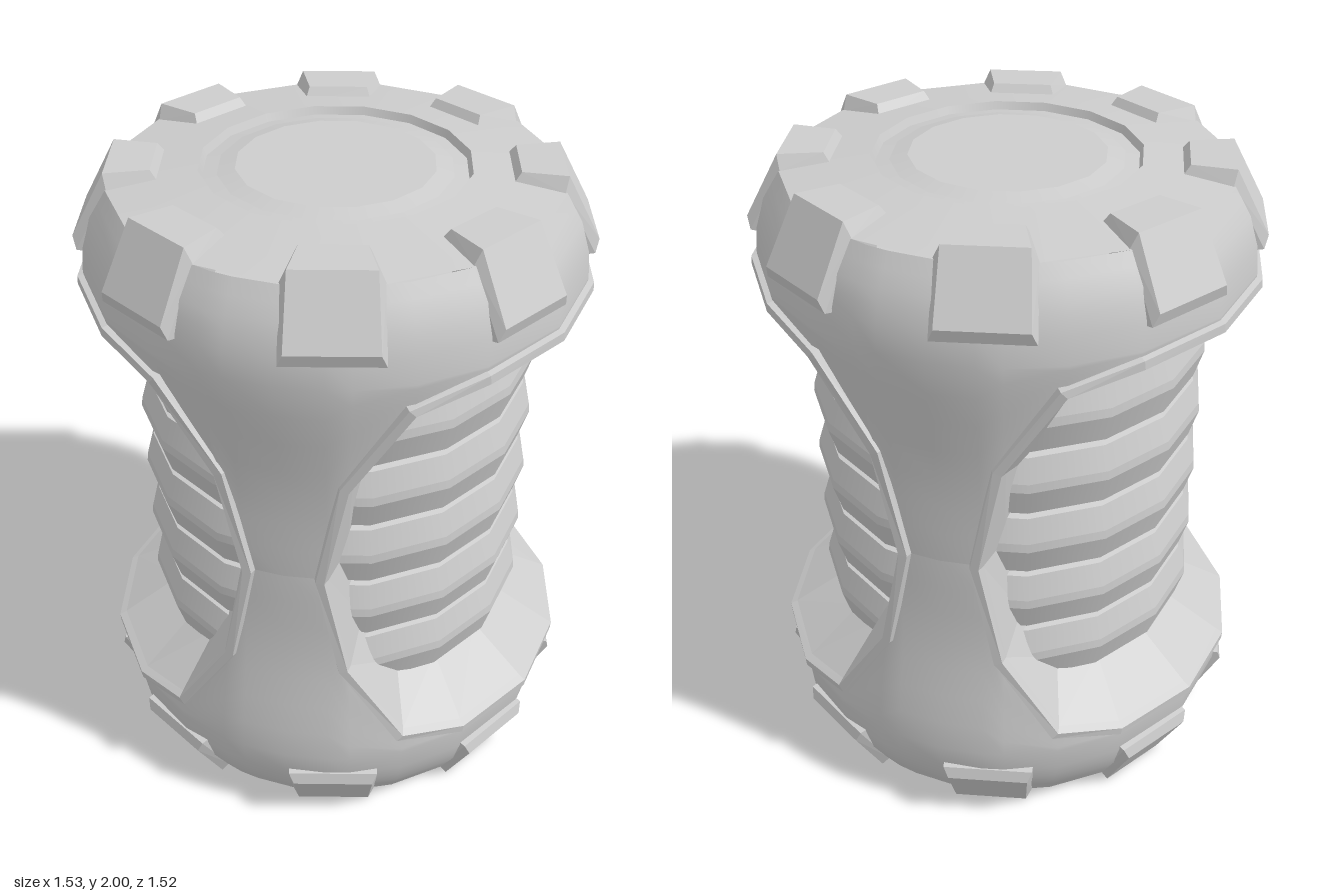
import * as THREE from 'three';
import { mergeGeometries } from 'three/addons/utils/BufferGeometryUtils.js';
import { ConvexGeometry } from 'three/addons/geometries/ConvexGeometry.js';

const rad = THREE.MathUtils.degToRad;

// Shell radius by height above the waist plane (height, radius)
const PROFILE = [[0, 0.68], [0.2, 0.684], [0.34, 0.692], [0.48, 0.715], [0.62, 0.738], [0.7, 0.745],
  [0.78, 0.738], [0.87, 0.71], [0.955, 0.66]];
function shellRadius(y) {
  const h = Math.abs(y - 1);
  for (let i = 1; i < PROFILE.length; i++) {
    const [h0, r0] = PROFILE[i - 1], [h1, r1] = PROFILE[i];
    if (h <= h1) return r0 + (r1 - r0) * (h - h0) / (h1 - h0);
  }
  return 0.66;
}

// A quarter of the window outline: angle from +x in degrees, height above waist
const WINDOW = [[0, 0.655], [22.5, 0.655], [45, 0.65], [61, 0.605], [74, 0.34], [79.5, 0]];

const polar = (r, a, y) => [r * Math.cos(a), y, r * Math.sin(a)];

// Upper half of the smooth shell; its lower edge follows the window outlines
function halfShell() {
  const quarter = [...WINDOW, [90, 0]];
  const columns = [];
  for (let k = 0; k < 4; k++) {
    const src = k % 2 ? quarter.slice().reverse() : quarter;
    for (const [a, h] of src.slice(0, -1)) columns.push([rad(k * 90 + (k % 2 ? 90 - a : a)), h]);
  }
  const pos = [], index = [], low = 7, capRows = [0.78, 0.83, 0.87, 0.915, 0.955];
  const rows = low + 1 + capRows.length, n = columns.length;
  for (const [a, h] of columns) {
    const heights = [];
    for (let j = 0; j <= low; j++) heights.push(h + (0.7 - h) * j / low);
    for (const y of [...heights, ...capRows]) pos.push(...polar(shellRadius(1 + y), a, 1 + y));
  }
  for (let i = 0; i < n; i++) {
    for (let j = 0; j < rows - 1; j++) {
      const p = i * rows + j, q = ((i + 1) % n) * rows + j;
      index.push(p, p + 1, q + 1, p, q + 1, q);
    }
  }
  const g = new THREE.BufferGeometry();
  g.setAttribute('position', new THREE.Float32BufferAttribute(pos, 3));
  g.setIndex(index);
  g.computeVertexNormals();
  return g;
}

// Raised window rim and the deep reveal behind it, swept around the outline
function windowFrame() {
  const back = WINDOW.slice(0, -1).reverse();
  const outline = [
    ...WINDOW, ...back.map(([a, h]) => [a, -h]),
    ...WINDOW.slice(1).map(([a, h]) => [-a, -h]), ...back.slice(0, -1).map(([a, h]) => [-a, h]),
  ].map(([a, h]) => [rad(a), h]);
  const n = outline.length;
  const offsetLoop = (off, dr) => outline.map(([a, h], i) => {
    const p = outline[(i + n - 1) % n], q = outline[(i + 1) % n];
    const tu = (q[0] - p[0]) * 0.7, tv = q[1] - p[1], len = Math.hypot(tu, tv);
    const y = 1 + h + off * tu / len;
    return polar(shellRadius(y) + dr, a - off * tv / len / 0.7, y);
  });
  const loops = [offsetLoop(0.038, -0.01), offsetLoop(0.032, 0.018), offsetLoop(0.006, 0.022),
    offsetLoop(-0.006, 0), outline.map(([a, h]) => polar(0.55, a * 0.93, 1 + h * 0.81))];
  const pos = [];
  for (let k = 0; k < loops.length - 1; k++) {
    for (let i = 0; i < n; i++) {
      const j = (i + 1) % n, O = loops[k], I = loops[k + 1];
      pos.push(...O[i], ...O[j], ...I[j], ...O[i], ...I[j], ...I[i]);
    }
  }
  const g = new THREE.BufferGeometry();
  g.setAttribute('position', new THREE.Float32BufferAttribute(pos, 3));
  g.computeVertexNormals();
  return g;
}

// Lathe that is smooth around the axis but creased between profile points
function creasedLathe(points, segments = 16) {
  const bands = [];
  for (let i = 0; i < points.length - 1; i++) {
    bands.push(new THREE.LatheGeometry([points[i], points[i + 1]].map(p => new THREE.Vector2(...p)), segments));
  }
  return mergeGeometries(bands);
}

// Bevelled grip block wrapped over the shoulder: (radius, height, half width)
const BLOCK = [
  [0.49, 1.955, 0.105], [0.52, 1.998, 0.09], [0.65, 1.998, 0.115], [0.752, 1.81, 0.125],
  [0.742, 1.772, 0.14], [0.69, 1.765, 0.142], [0.64, 1.955, 0.135], [0.6, 1.85, 0.1],
];
function gripBlock(top) {
  const pts = [];
  for (const [r, y, w] of BLOCK) {
    for (const s of [-1, 1]) pts.push(new THREE.Vector3(s * w, top ? y : 2 - y, r));
  }
  return new ConvexGeometry(pts);
}

export function createModel() {
  const model = new THREE.Group();
  model.name = 'canister';
  const grey = new THREE.MeshStandardMaterial({ color: 0xcccccc });
  grey.name = 'light grey';
  const add = (parent, geometry, name) => {
    const mesh = new THREE.Mesh(geometry, grey);
    mesh.name = name;
    parent.add(mesh);
    return mesh;
  };

  // Shell halves with end caps; the lower one is the upper turned over
  const shell = halfShell();
  const cap = creasedLathe([[0.66, 1.955], [0.395, 1.988], [0.385, 1.965], [0.342, 1.972],
    [0.29, 1.985], [0, 1.985]]);
  for (const side of ['upper', 'lower']) {
    const half = new THREE.Group();
    half.name = side + 'Half';
    add(half, shell, side + 'Shell');
    add(half, cap, side + 'Cap');
    if (side === 'lower') {
      half.rotation.x = Math.PI;
      half.position.y = 2;
    }
    model.add(half);
  }

  // Window frames on the left and right
  const frame = windowFrame();
  add(model, frame, 'leftWindowFrame');
  add(model, frame, 'rightWindowFrame').rotation.y = Math.PI;

  // Ribbed inner core
  add(model, new THREE.CylinderGeometry(0.555, 0.555, 1.2, 16).translate(0, 1, 0), 'core');
  const rib = creasedLathe([[0.55, -0.108], [0.588, -0.098], [0.615, -0.008], [0.612, 0.02],
    [0.588, 0.096], [0.55, 0.106]]);
  for (let i = 0; i < 5; i++) add(model, rib, 'coreRib').position.y = 0.576 + i * 0.214;

  // Eight grip blocks around each end
  for (const top of [true, false]) {
    const block = gripBlock(top);
    for (let i = 0; i < 8; i++) {
      add(model, block, top ? 'upperGripBlock' : 'lowerGripBlock').rotation.y = rad(12 + i * 45);
    }
  }
  return model;
}
